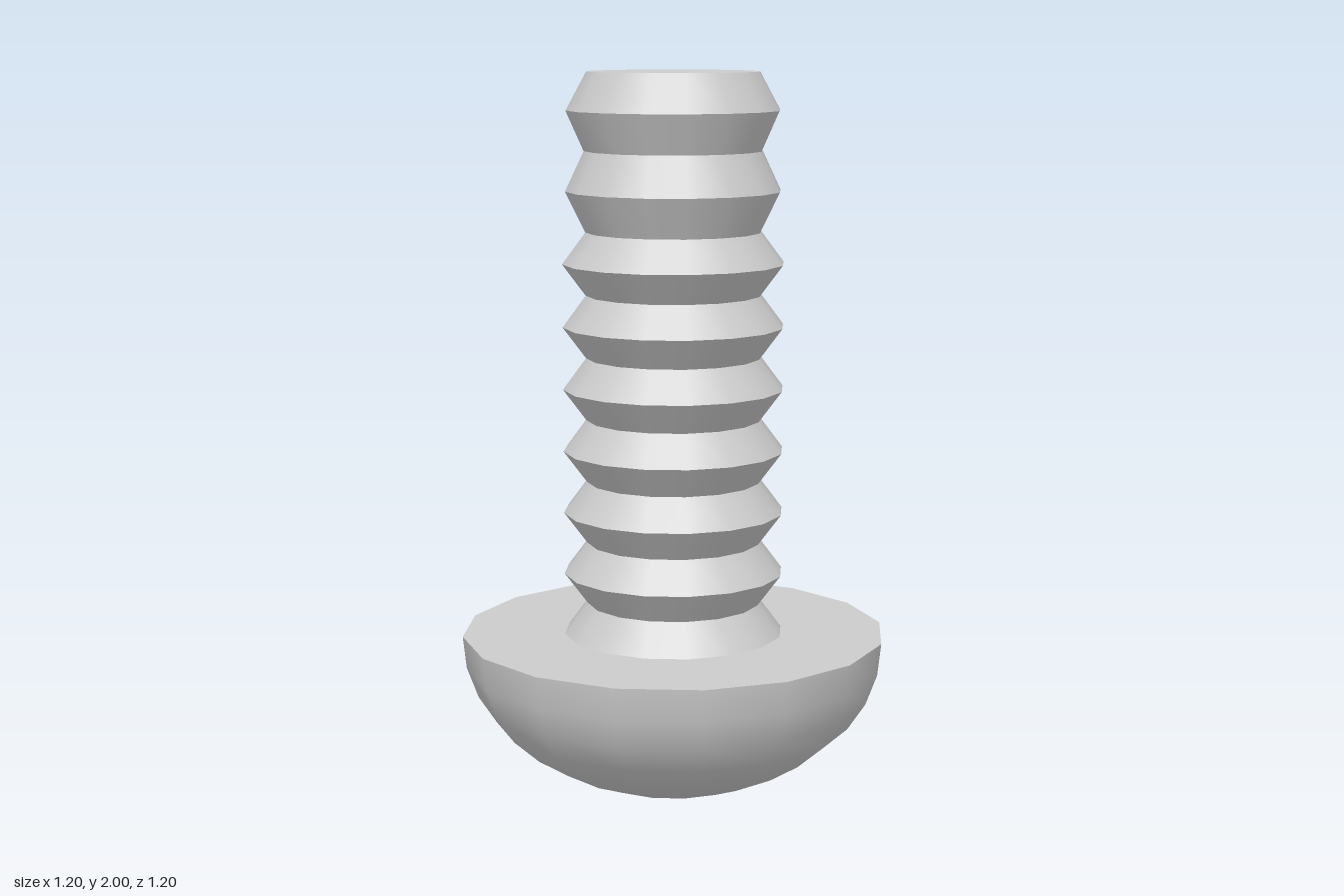
import * as THREE from 'three';
import { mergeGeometries } from 'three/addons/utils/BufferGeometryUtils.js';

const SIDES = 16;
const material = new THREE.MeshStandardMaterial({ color: 0xcccccc });

const lathe = (points) =>
  new THREE.LatheGeometry(points.map(([r, y]) => new THREE.Vector2(r, y)), SIDES);

// Rings that are smooth around the axis but keep a hard edge at every profile point
function sharpLathe(points) {
  const rings = [];
  for (let i = 0; i < points.length - 1; i++) rings.push(lathe([points[i], points[i + 1]]));
  return mergeGeometries(rings);
}

function part(name, geometry) {
  const mesh = new THREE.Mesh(geometry, material);
  mesh.name = name;
  return mesh;
}

export function createModel() {
  const screw = new THREE.Group();
  screw.name = 'screw';

  const headTop = 0.425, socketRadius = 0.23, socketDepth = 0.09;

  // Round socket sunk into the underside of the head
  screw.add(part('socket', sharpLathe([
    [0, socketDepth], [socketRadius, socketDepth], [socketRadius, 0],
  ])));

  // Smooth domed head
  screw.add(part('headDome', lathe([
    [socketRadius, 0], [0.34, 0.045], [0.432, 0.103], [0.507, 0.17],
    [0.558, 0.247], [0.59, 0.334], [0.6, headTop],
  ])));

  // Flat bearing face of the head
  screw.add(part('headFace', lathe([[0.6, headTop], [0.31, headTop]])));

  // Shank: seven regular thread crests, then two wider ones near the tip
  const thread = [];
  const pitch = 0.175;
  for (let i = 0; i < 7; i++) {
    const y = headTop + i * pitch;
    thread.push([0.31, y], [0.245, y + pitch / 2]);
  }
  thread.push([0.3, 1.675], [0.248, 1.785], [0.297, 1.895], [0.24, 2]);
  screw.add(part('threadedShank', sharpLathe(thread)));

  // Flat end of the shank
  screw.add(part('shankEnd', lathe([[0.24, 2], [0, 2]])));

  return screw;
}
